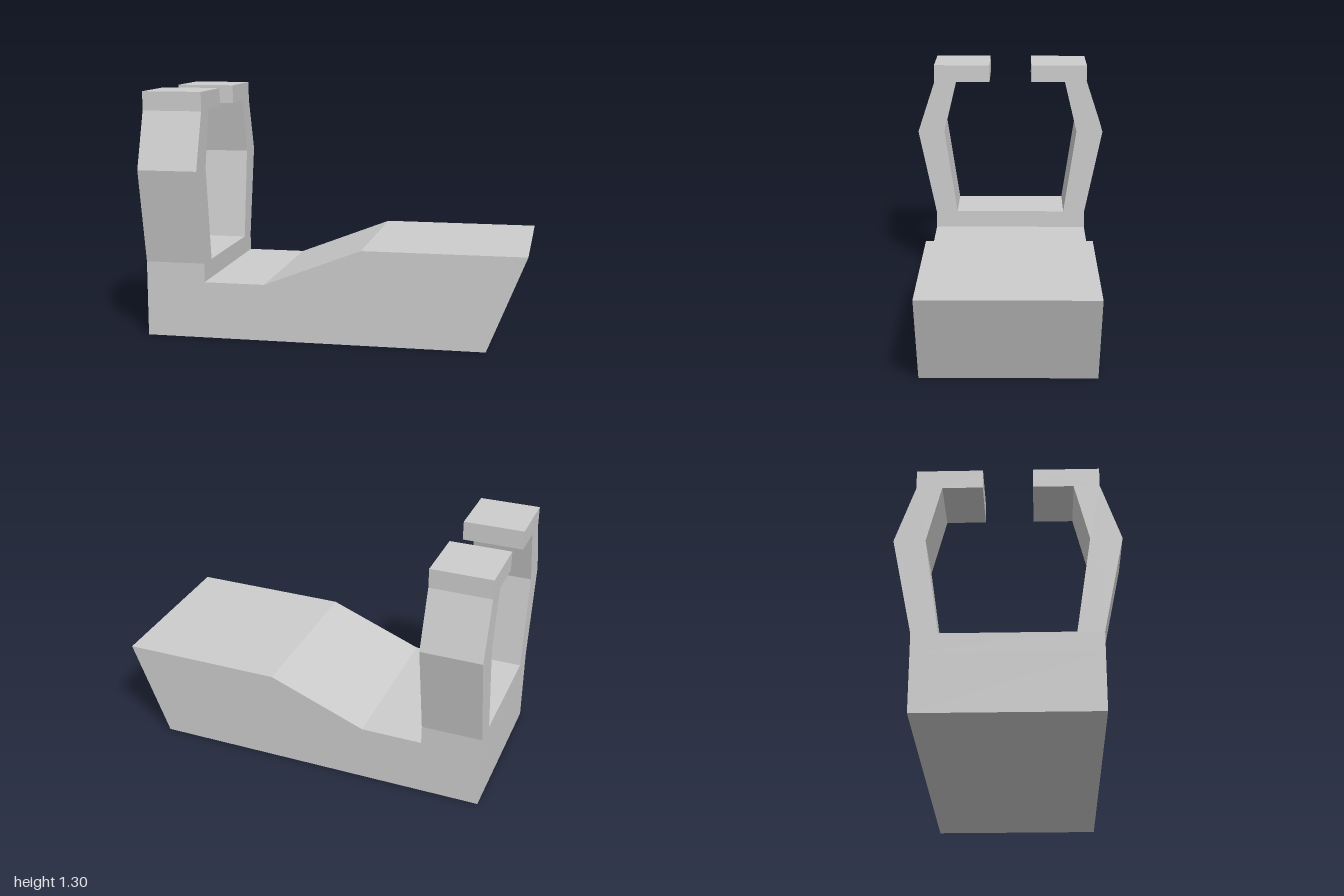
import * as THREE from 'three';

const grey = new THREE.MeshStandardMaterial({ color: 0xcccccc });
grey.name = 'plainGrey';

// Flat-sided prism from an outline, starting at z = 0
function prism(name, points, depth) {
  const shape = new THREE.Shape(points.map(([x, y]) => new THREE.Vector2(x, y)));
  const geometry = new THREE.ExtrudeGeometry(shape, { depth, bevelEnabled: false });
  const mesh = new THREE.Mesh(geometry, grey);
  mesh.name = name;
  return mesh;
}

export function createModel() {
  const group = new THREE.Group();
  group.name = 'clipHolder';

  // Wedge-ended base, extruded across the width
  const base = prism('base', [
    [-1, 0], [0.798, 0], [1, 0.5], [0.153, 0.5], [-0.36, 0.3], [-1, 0.3],
  ], 0.9);
  base.geometry.translate(0, 0, -0.45);
  group.add(base);

  // Open clip: one half of the outline, mirrored, extruded along x
  const half = [
    [0.45, 0.3], [0.45, 0.4], [0.55, 0.9], [0.45, 1.2], [0.45, 1.3],
    [0.123, 1.3], [0.123, 1.2], [0.322, 1.2], [0.395, 0.9], [0.322, 0.4],
  ];
  const mirrored = half.map(([x, y]) => [-x, y]).reverse();
  const clip = prism('clipArms', [...half, ...mirrored], 0.317);
  clip.geometry.rotateY(Math.PI / 2);
  clip.geometry.translate(-1, 0, 0);
  group.add(clip);

  return group;
}
